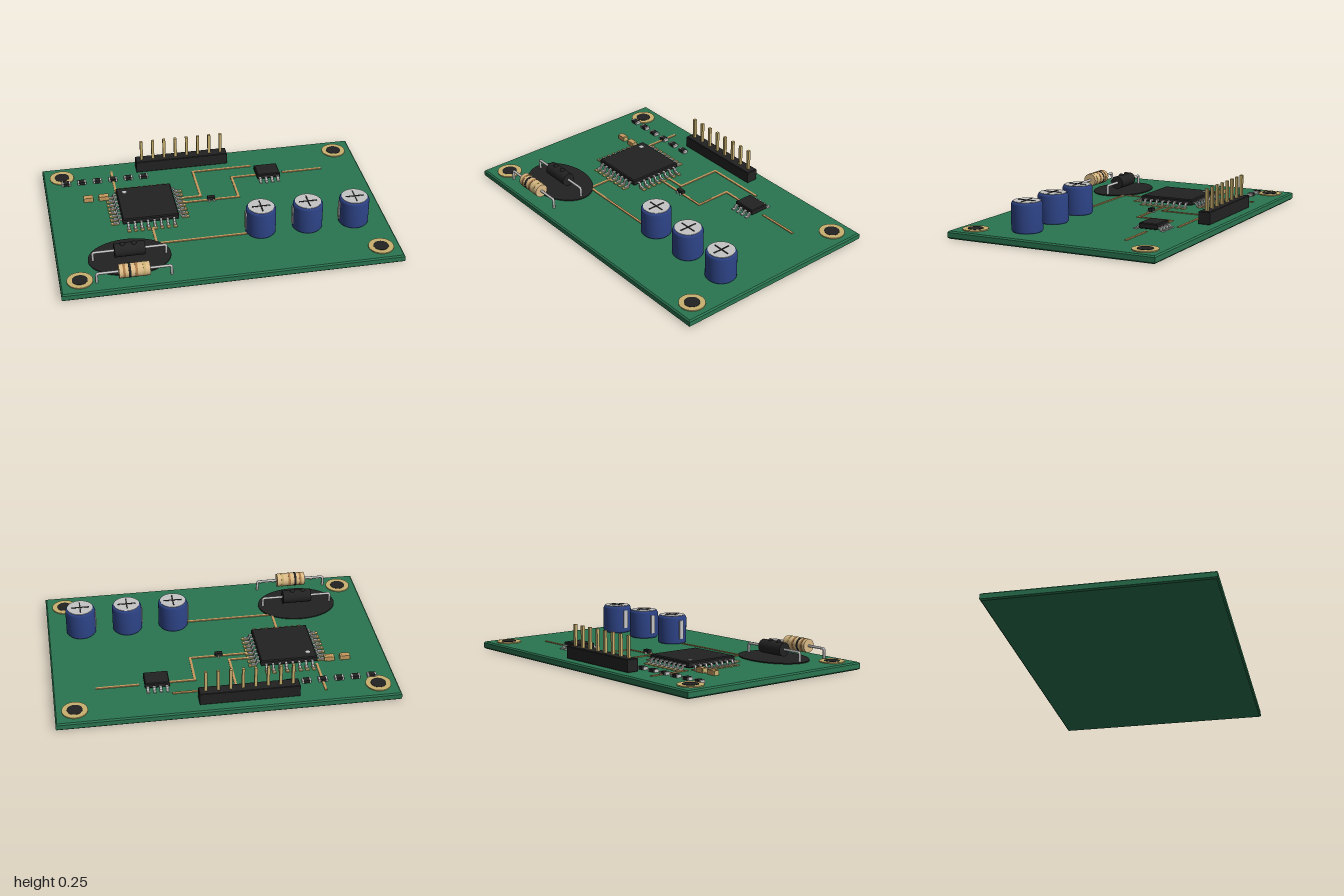
import * as THREE from 'three';

const mat = (name, color) => {
  const m = new THREE.MeshStandardMaterial({ color });
  m.name = name;
  return m;
};

export function createModel() {
  const M = {
    green: mat('board green', 0x2a7550), black: mat('black plastic', 0x222222),
    gold: mat('gold', 0xc9b06e), copper: mat('copper', 0xc8995e),
    silver: mat('silver', 0xc4c4c4), blue: mat('capacitor blue', 0x2e4488),
    tan: mat('resistor tan', 0xdcbc88), brown: mat('band brown', 0xa87a48),
  };
  const TOP = 0.045; // upper face of the board
  const root = new THREE.Group();
  root.name = 'circuitBoard';

  const group = (name, x = 0, y = 0, z = 0, parent = root) => {
    const g = new THREE.Group();
    g.name = name;
    g.position.set(x, y, z);
    parent.add(g);
    return g;
  };
  const add = (parent, name, geo, material, x = 0, y = 0, z = 0) => {
    const m = new THREE.Mesh(geo, material);
    m.name = name;
    m.position.set(x, y, z);
    parent.add(m);
    return m;
  };
  const box = (w, h, d) => new THREE.BoxGeometry(w, h, d);
  const cyl = (r, h, n = 32) => new THREE.CylinderGeometry(r, r, h, n);

  // chamfered slab standing on y = 0
  const slab = (w, h, d, b) => {
    const x = w / 2 - b, z = d / 2 - b;
    const s = new THREE.Shape([[-x, -z], [x, -z], [x, z], [-x, z]].map(p => new THREE.Vector2(...p)));
    return new THREE.ExtrudeGeometry(s, {
      depth: h - 2 * b, bevelThickness: b, bevelSize: b, bevelSegments: 1,
    }).rotateX(-Math.PI / 2).translate(0, b, 0);
  };

  // bent chip pin running out along +z, foot on y = 0
  const gullPin = (w, out, rise) => {
    const t = 0.007, k = out * 0.4;
    const s = new THREE.Shape([
      [0, rise], [k, rise], [k + t, t], [out, t], [out, 0], [k, 0], [k - t, rise - t], [0, rise - t],
    ].map(p => new THREE.Vector2(...p)));
    return new THREE.ExtrudeGeometry(s, { depth: w, bevelEnabled: false })
      .translate(0, 0, -w / 2).rotateY(-Math.PI / 2);
  };

  // board and mounting holes
  add(root, 'board', slab(2, TOP, 1.31, 0.008), M.green);
  for (const x of [-0.885, 0.885]) for (const z of [-0.54, 0.54]) {
    const g = group('mountingHole', x, TOP, z);
    add(g, 'ring', cyl(0.075, 0.006), M.gold, 0, 0.003);
    add(g, 'hole', cyl(0.045, 0.008), M.black, 0, 0.004);
  }

  // copper traces as runs of straight strips
  const traces = [
    [[-0.57, -0.55], [-0.57, -0.3]],
    [[-0.2, -0.178], [-0.06, -0.178], [-0.06, -0.46], [0.31, -0.46]],
    [[-0.2, -0.128], [0.17, -0.128], [0.17, -0.35], [0.33, -0.35]],
    [[0.505, -0.35], [0.745, -0.35]],
    [[-0.402, 0.11], [-0.402, 0.265], [0.15, 0.265]],
    [[-0.68, -0.26], [-0.575, -0.26]],
  ];
  for (const path of traces) for (let i = 1; i < path.length; i++) {
    const [[ax, az], [bx, bz]] = [path[i - 1], path[i]], w = 0.014;
    add(root, 'trace', box(Math.abs(bx - ax) + w, 0.005, Math.abs(bz - az) + w), M.copper,
      (ax + bx) / 2, TOP + 0.0025, (az + bz) / 2);
  }

  // large square chip with eight pins and pads on each side
  const cpu = group('mainChip', -0.404, TOP, -0.117);
  add(cpu, 'chipBody', slab(0.342, 0.037, 0.345, 0.006), M.black, 0, 0.012);
  add(cpu, 'pinOneMark', cyl(0.014, 0.003, 20), M.silver, -0.122, 0.05, -0.12);
  const bigPin = gullPin(0.014, 0.055, 0.026);
  for (let side = 0; side < 4; side++) {
    const g = group('pinRow', 0, 0, 0, cpu);
    g.rotation.y = side * Math.PI / 2;
    for (let i = 0; i < 8; i++) {
      const x = (i - 3.5) * 0.0397;
      add(g, 'pin', bigPin, M.silver, x, 0.005, 0.168);
      add(g, 'pad', box(0.022, 0.006, 0.042), M.gold, x, 0.003, 0.217);
    }
  }

  // small eight-pin chip
  const soic = group('smallChip', 0.397, TOP, -0.345);
  add(soic, 'chipBody', slab(0.145, 0.034, 0.117, 0.005), M.black, 0, 0.008);
  const smallPin = gullPin(0.017, 0.042, 0.022);
  for (const side of [0, 1]) {
    const g = group('pinRow', 0, 0, 0, soic);
    g.rotation.y = side * Math.PI;
    for (let i = 0; i < 4; i++) add(g, 'pin', smallPin, M.silver, (i - 1.5) * 0.0375, 0.001, 0.056);
  }

  // pin header
  const header = group('pinHeader', -0.118, TOP, -0.557);
  add(header, 'headerBody', slab(0.585, 0.075, 0.073, 0.003), M.black);
  for (let i = 0; i < 8; i++) {
    add(header, 'headerPin', box(0.017, 0.2, 0.017), M.gold, (i - 3.5) * 0.0725, 0.105);
  }

  // surface-mount parts: body with metal ends
  const chipPart = (name, x, z, w, h, d, body, ends) => {
    const g = group(name, x, TOP, z);
    add(g, 'body', box(w * 0.66, h, d), body, 0, h / 2);
    for (const s of [-1, 1]) add(g, 'end', box(w * 0.17, h * 0.96, d * 0.96), ends, s * w * 0.415, h * 0.48);
  };
  for (let i = 0; i < 6; i++) {
    chipPart('surfaceResistor', -0.865 + i * 0.098, -0.46, 0.054, 0.018, 0.034, M.black, M.silver);
  }
  for (const x of [-0.747, -0.652]) {
    chipPart('surfaceCapacitor', x, -0.26, 0.06, 0.028, 0.034, M.copper, M.gold);
  }

  // three-legged transistor
  const sot = group('transistor', -0.003, TOP, -0.128);
  add(sot, 'body', box(0.045, 0.02, 0.026), M.black, 0, 0.016);
  for (const [x, z] of [[-0.015, 0.015], [0.015, 0.015], [0, -0.015]]) {
    add(sot, 'leg', box(0.009, 0.012, 0.012), M.silver, x, 0.006, z);
  }

  // blue can capacitors
  const can = new THREE.LatheGeometry([
    [0, 0], [0.082, 0], [0.09, 0.01], [0.09, 0.16], [0.082, 0.175], [0, 0.175],
  ].map(p => new THREE.Vector2(...p)), 40);
  for (const x of [0.225, 0.51, 0.795]) {
    const g = group('canCapacitor', x, TOP, 0.252);
    add(g, 'can', can, M.blue);
    add(g, 'lid', cyl(0.078, 0.004, 40), M.silver, 0, 0.176);
    add(g, 'ventMark', box(0.11, 0.003, 0.008), M.black, 0, 0.179);
    add(g, 'ventMark', box(0.008, 0.003, 0.11), M.black, 0, 0.179);
    add(g, 'polarityStripe', box(0.008, 0.115, 0.03), M.silver, -0.091, 0.09);
  }

  // axial parts: wire bent down into the board at both ends
  const bend = 0.012, reach = 0.215, drop = -0.06;
  const wirePath = new THREE.CurvePath();
  const P = (x, y) => new THREE.Vector3(x, y, 0);
  wirePath.add(new THREE.LineCurve3(P(-reach, drop), P(-reach, -bend)));
  wirePath.add(new THREE.QuadraticBezierCurve3(P(-reach, -bend), P(-reach, 0), P(-reach + bend, 0)));
  wirePath.add(new THREE.LineCurve3(P(-reach + bend, 0), P(reach - bend, 0)));
  wirePath.add(new THREE.QuadraticBezierCurve3(P(reach - bend, 0), P(reach, 0), P(reach, -bend)));
  wirePath.add(new THREE.LineCurve3(P(reach, -bend), P(reach, drop)));
  const wire = new THREE.TubeGeometry(wirePath, 96, 0.008, 8);
  const axial = (name, z, body) => {
    const g = group(name, -0.577, 0.105, z);
    add(g, 'lead', wire, M.silver);
    add(g, 'body', cyl(0.041, 0.178).rotateZ(Math.PI / 2), body);
    return g;
  };
  const band = (g, x, w, m) => add(g, 'band', cyl(0.0425, w).rotateZ(Math.PI / 2), m, x);

  const resistor = axial('axialResistor', 0.57, M.tan);
  band(resistor, -0.06, 0.014, M.brown);
  band(resistor, -0.028, 0.014, M.black);
  band(resistor, 0.01, 0.014, M.brown);
  band(resistor, 0.055, 0.014, M.gold);

  const diode = axial('diode', 0.368, M.black);
  for (const x of [-0.04, 0.027]) add(diode, 'bump', new THREE.SphereGeometry(0.016, 16, 12), M.black, x, 0.036);

  // dark oval patch under the diode
  const patch = add(root, 'ovalPatch', cyl(1, 0.006, 48), M.black, -0.577, TOP + 0.003, 0.367);
  patch.scale.set(0.243, 1, 0.175);

  return root;
}
